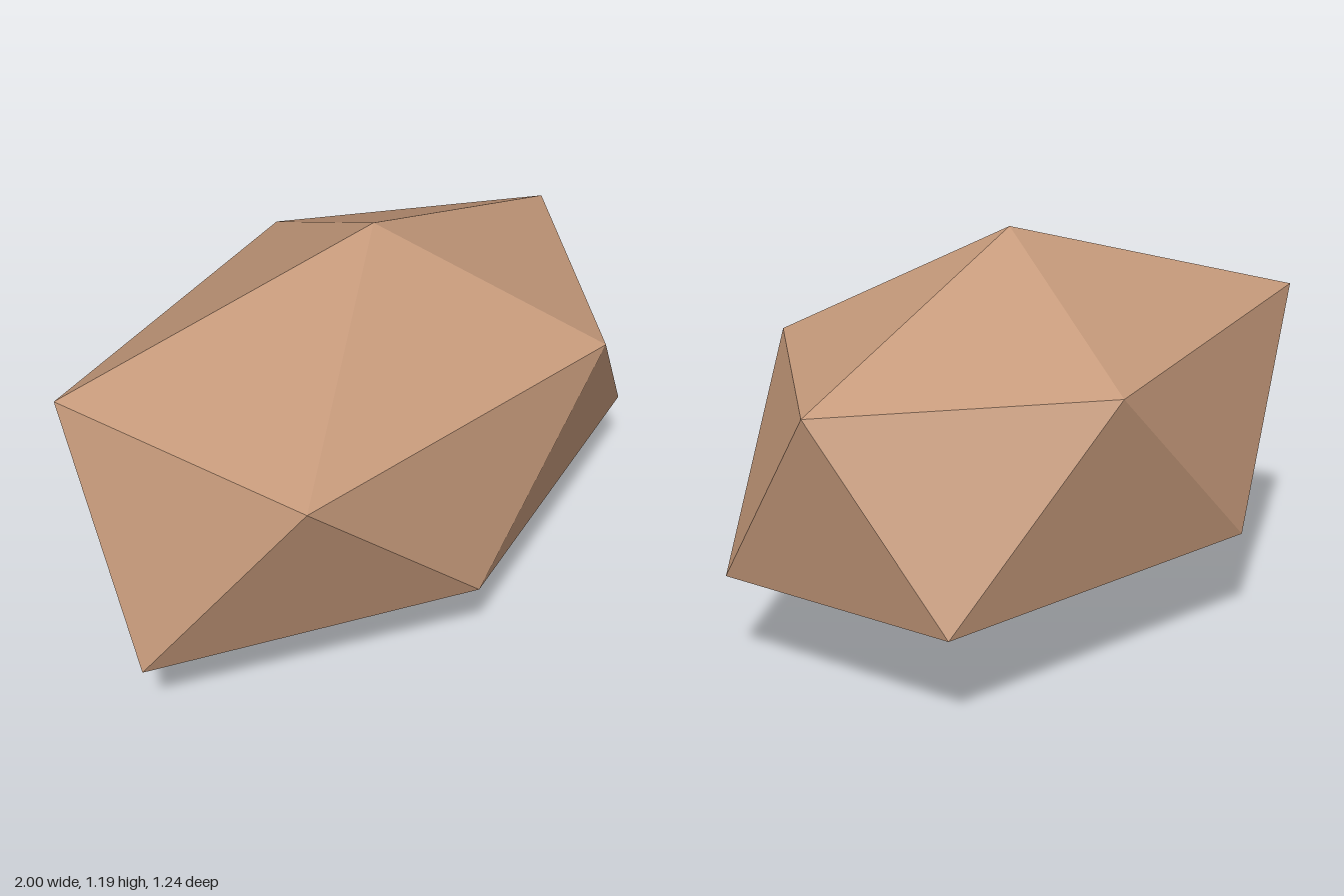
import * as THREE from 'three';

// Low-poly stone: a stretched, slightly irregular icosahedron
export function createModel() {
  const group = new THREE.Group();
  group.name = 'stone';

  // Two poles and two staggered rings of five corners
  const top = [0.08, 1.19, 0];
  const bottom = [0.08, 0, 0];
  const upper = [
    [1, 0.845, 0], [0.38, 0.855, 0.615], [-0.79, 0.89, 0.425],
    [-0.82, 0.9, -0.43], [0.365, 0.845, -0.585],
  ];
  const lower = [
    [0.89, 0.28, 0.4], [-0.2, 0.31, 0.585], [-1, 0.262, 0],
    [-0.23, 0.287, -0.62], [0.89, 0.28, -0.39],
  ];

  // Cap, zigzag side band and underside
  const corners = [];
  for (let i = 0; i < 5; i++) {
    const j = (i + 1) % 5;
    corners.push(top, upper[j], upper[i]);
    corners.push(upper[i], upper[j], lower[i]);
    corners.push(lower[i], upper[j], lower[j]);
    corners.push(lower[i], lower[j], bottom);
  }
  const geometry = new THREE.BufferGeometry();
  geometry.setAttribute('position', new THREE.Float32BufferAttribute(corners.flat(), 3));
  geometry.computeVertexNormals(); // unshared corners give flat facets

  const material = new THREE.MeshStandardMaterial({ color: 0xc69a7b });
  material.name = 'tan stone';

  const body = new THREE.Mesh(geometry, material);
  body.name = 'stoneBody';
  group.add(body);
  return group;
}
